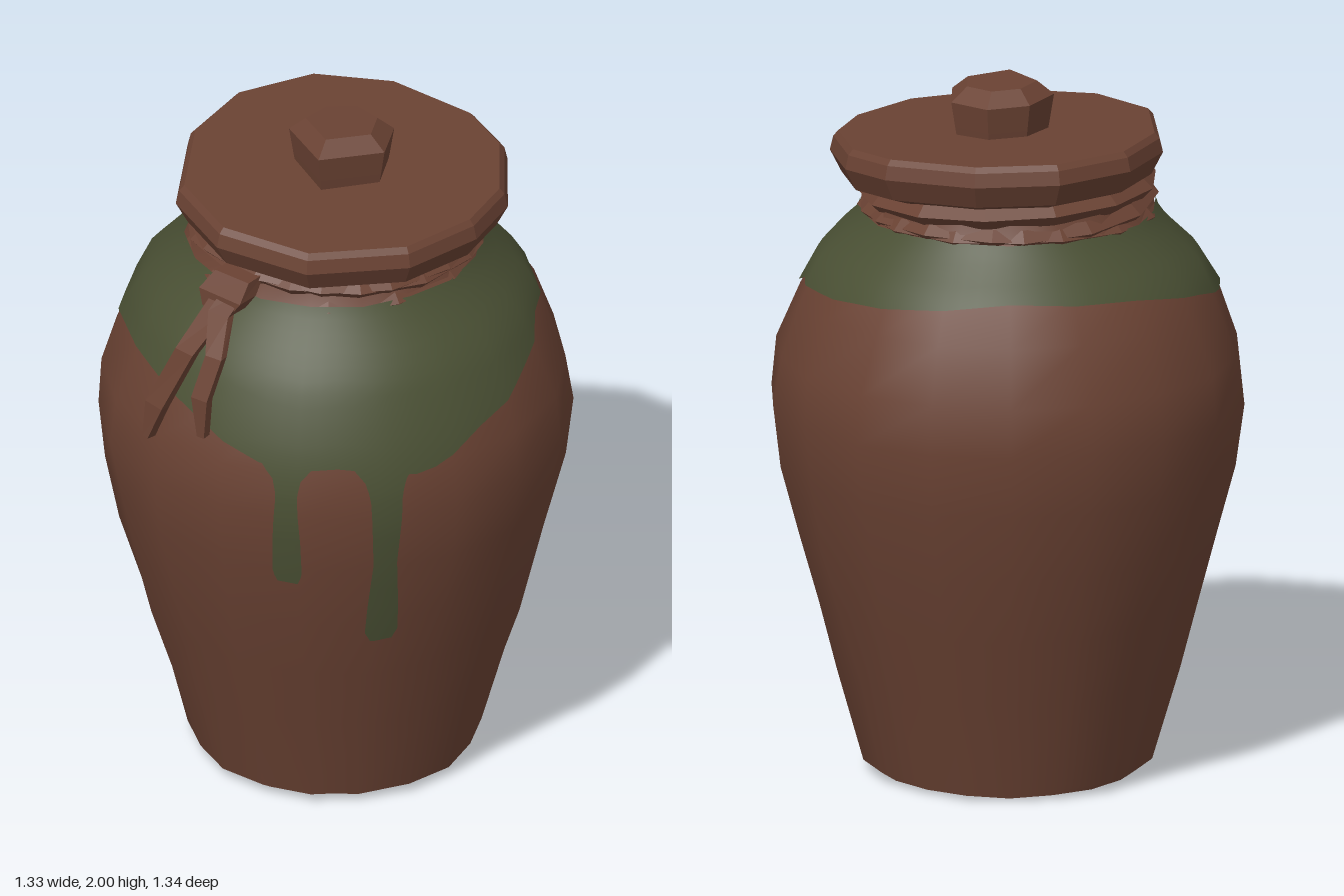
import * as THREE from 'three';

const brown = new THREE.MeshStandardMaterial({ color: 0x6a4233 });
const green = new THREE.MeshStandardMaterial({ color: 0x4a5034 });
brown.name = 'brownClay';
green.name = 'greenGlaze';

const SIDES = 18, STEP = (Math.PI * 2) / SIDES;

// jar profile: [height, radius]
const PROFILE = [[0, 0.36], [0.03, 0.41], [0.3, 0.485], [0.5, 0.545], [0.7, 0.6], [0.9, 0.645], [1.08, 0.67],
  [1.22, 0.655], [1.38, 0.595], [1.5, 0.53], [1.58, 0.45], [1.61, 0.42], [1.72, 0.38]];

// lower edge of the glaze: [degrees round from the front, height]
const GLAZE_EDGE = [[-180, 1.49], [-140, 1.47], [-110, 1.42], [-90, 1.38], [-60, 1.38], [-40, 1.35], [-20, 1.28],
  [-10, 1.24], [0, 1.23], [12, 1.24], [22, 1.22], [32, 1.2], [50, 1.28], [70, 1.35], [90, 1.42], [110, 1.43],
  [140, 1.45], [180, 1.49]];

// piecewise linear lookup; wobble adds a small offset per entry
function lookup(table, x, wobble = () => 0) {
  const last = table.length - 1;
  if (x <= table[0][0]) return table[0][1] + wobble(0);
  for (let i = 0; i < last; i++) {
    const [x0, y0] = table[i], [x1, y1] = table[i + 1];
    if (x <= x1) return THREE.MathUtils.lerp(y0 + wobble(i), y1 + wobble(i + 1), (x - x0) / (x1 - x0));
  }
  return table[last][1] + wobble(last);
}

// point on the hand-formed, many-sided jar wall
function wallPoint(theta, y) {
  const s = theta / STEP, k = Math.floor(s + 1e-6);
  const corner = (c) => {
    const id = ((c % SIDES) + SIDES) % SIDES;
    const r = lookup(PROFILE, y, (i) => 0.006 * Math.sin(id * 2.3 + i * 1.7));
    return new THREE.Vector3(r * Math.sin(c * STEP), y, r * Math.cos(c * STEP));
  };
  return corner(k).lerp(corner(k + 1), Math.max(0, s - k));
}

function wallNormal(theta, y) {
  const a = Math.max(y - 0.08, 0.03), b = Math.min(y + 0.08, 1.72);
  const slope = (lookup(PROFILE, b) - lookup(PROFILE, a)) / (b - a);
  return new THREE.Vector3(Math.sin(theta), -slope, Math.cos(theta)).normalize();
}

// smooth patch over the jar wall; at(u, v) returns [theta, y]
function wallPatch(cols, rows, offset, at) {
  const pos = [], nor = [], idx = [];
  for (let j = 0; j <= rows; j++) {
    for (let i = 0; i <= cols; i++) {
      const [theta, y] = at(i / cols, j / rows);
      const n = wallNormal(theta, y);
      pos.push(...wallPoint(theta, y).addScaledVector(n, offset).toArray());
      nor.push(...n.toArray());
      if (i < cols && j < rows) {
        const a = j * (cols + 1) + i, d = a + cols + 1;
        idx.push(a, a + 1, d + 1, a, d + 1, d);
      }
    }
  }
  const g = new THREE.BufferGeometry();
  g.setAttribute('position', new THREE.Float32BufferAttribute(pos, 3));
  g.setAttribute('normal', new THREE.Float32BufferAttribute(nor, 3));
  g.setIndex(idx);
  return g;
}

// faceted solid through rings listed bottom to top, closed at both ends
function loft(rings) {
  const pos = [], n = rings[0].length;
  const tri = (...pts) => pts.forEach((p) => pos.push(p.x, p.y, p.z));
  const middle = (ring) => ring.reduce((m, p) => m.addScaledVector(p, 1 / n), new THREE.Vector3());
  const low = rings[0], high = rings[rings.length - 1], lowMid = middle(low), highMid = middle(high);
  for (let j = 0; j < n; j++) {
    const k = (j + 1) % n;
    for (let i = 0; i < rings.length - 1; i++) {
      const a = rings[i], b = rings[i + 1];
      tri(a[j], a[k], b[k]);
      tri(a[j], b[k], b[j]);
    }
    tri(lowMid, low[k], low[j]);
    tri(highMid, high[j], high[k]);
  }
  const g = new THREE.BufferGeometry();
  g.setAttribute('position', new THREE.Float32BufferAttribute(pos, 3));
  g.computeVertexNormals();
  return g;
}

// slab from a plan outline; layers are [height, scale], tilt leans it
function slab(outline, layers, cx, cz, tiltX, tiltZ) {
  return loft(layers.map(([y, s]) => outline.map(([x, z]) => {
    const px = cx + (x - cx) * s, pz = cz + (z - cz) * s;
    return new THREE.Vector3(px, y + px * tiltX + pz * tiltZ, pz);
  })));
}

// leather strip: points [x, y, z, halfWidth] from the tip upward
function strip(points, thick) {
  return loft(points.map(([x, y, z, w]) => {
    const out = new THREE.Vector3(x, 0, z).normalize();
    const side = new THREE.Vector3(out.z, 0, -out.x);
    return [[-1, 1], [1, 1], [1, -1], [-1, -1]].map(([s, o]) =>
      new THREE.Vector3(x, y, z).addScaledVector(side, s * w).addScaledVector(out, o * thick));
  }));
}

export function createModel() {
  const model = new THREE.Group();
  model.name = 'lidded jar';
  const add = (name, geometry, material) => {
    const mesh = new THREE.Mesh(geometry, material);
    mesh.name = name;
    model.add(mesh);
    return mesh;
  };

  // clay body and its base
  const rows = PROFILE.length - 1;
  add('body', wallPatch(SIDES, rows, 0, (u, v) => [u * Math.PI * 2, PROFILE[Math.round(v * rows)][0]]), brown);
  const baseRing = (y, s) => Array.from({ length: SIDES }, (_, k) => {
    const p = wallPoint(k * STEP, 0);
    return new THREE.Vector3(p.x * s, y, p.z * s);
  });
  add('base', loft([baseRing(0, 1), baseRing(0.02, 0.9)]), brown);

  // glaze over the shoulder, with two drips at the front
  add('glaze', wallPatch(SIDES * 4, 12, 0.008, (u, v) => {
    const deg = u * 360 - 180;
    return [THREE.MathUtils.degToRad(deg), THREE.MathUtils.lerp(lookup(GLAZE_EDGE, deg), 1.63, v)];
  }), green);
  const drips = [
    { x: -0.03, widths: [[0.86, 0.03], [0.89, 0.043], [1.0, 0.04], [1.15, 0.03], [1.2, 0.04], [1.26, 0.09]] },
    { x: 0.24, widths: [[0.64, 0.035], [0.67, 0.052], [0.75, 0.048], [0.92, 0.034], [1.15, 0.045], [1.2, 0.06], [1.26, 0.11]] },
  ];
  for (const { x, widths } of drips) {
    const bottom = widths[0][0], top = widths[widths.length - 1][0];
    add('glazeDrip', wallPatch(8, 20, 0.007, (u, v) => {
      const y = THREE.MathUtils.lerp(bottom, top, v);
      return [Math.asin(x / 0.64) + ((u * 2 - 1) * lookup(widths, y)) / 0.64, y];
    }), green);
  }

  // leather cord wound round the neck
  [[1.63, 0.03, 0.02], [1.66, -0.05, -0.03], [1.695, 0.03, -0.04]].forEach(([y, tx, tz], i) => {
    const g = new THREE.TorusGeometry(0.395, 0.03, 4, 13).rotateX(Math.PI / 2).rotateY(i * 0.7).toNonIndexed();
    g.computeVertexNormals();
    const cord = add('neckCord', g, brown);
    cord.position.y = y;
    cord.rotation.set(tx, 0, tz);
  });

  // knot and its two hanging tails
  add('cordKnot', strip([[-0.25, 1.6, 0.4, 0.05], [-0.24, 1.65, 0.4, 0.075], [-0.21, 1.7, 0.37, 0.06]], 0.035), brown);
  add('cordTail', strip([[-0.45, 1.21, 0.49, 0.012], [-0.425, 1.32, 0.495, 0.035], [-0.34, 1.5, 0.49, 0.033],
    [-0.25, 1.63, 0.42, 0.04], [-0.2, 1.69, 0.39, 0.04]], 0.014), brown);
  add('cordTail', strip([[-0.28, 1.28, 0.58, 0.012], [-0.285, 1.4, 0.575, 0.027], [-0.25, 1.52, 0.54, 0.027],
    [-0.25, 1.61, 0.45, 0.035], [-0.2, 1.68, 0.4, 0.035]], 0.014), brown);

  // rough-hewn, leaning lid
  const lidOutline = [[0, 0.49], [0.28, 0.4], [0.44, 0.22], [0.5, 0.04], [0.46, -0.2], [0.35, -0.34], [0.1, -0.465],
    [-0.14, -0.46], [-0.34, -0.32], [-0.435, -0.1], [-0.42, 0.2], [-0.27, 0.4]];
  add('lid', slab(lidOutline, [[1.7, 0.72], [1.735, 0.93], [1.8, 1], [1.84, 0.98], [1.856, 0.95]],
    0.03, 0, -0.025, -0.04), brown);

  // six-sided knob
  const knobOutline = [[-0.02, 0.16], [0.155, 0.08], [0.16, -0.06], [0.06, -0.14], [-0.06, -0.11], [-0.13, 0]];
  add('knob', slab(knobOutline, [[1.83, 0.86], [1.88, 0.92], [1.955, 1], [1.995, 0.68]], 0.02, 0, -0.02, 0.02), brown);

  return model;
}
